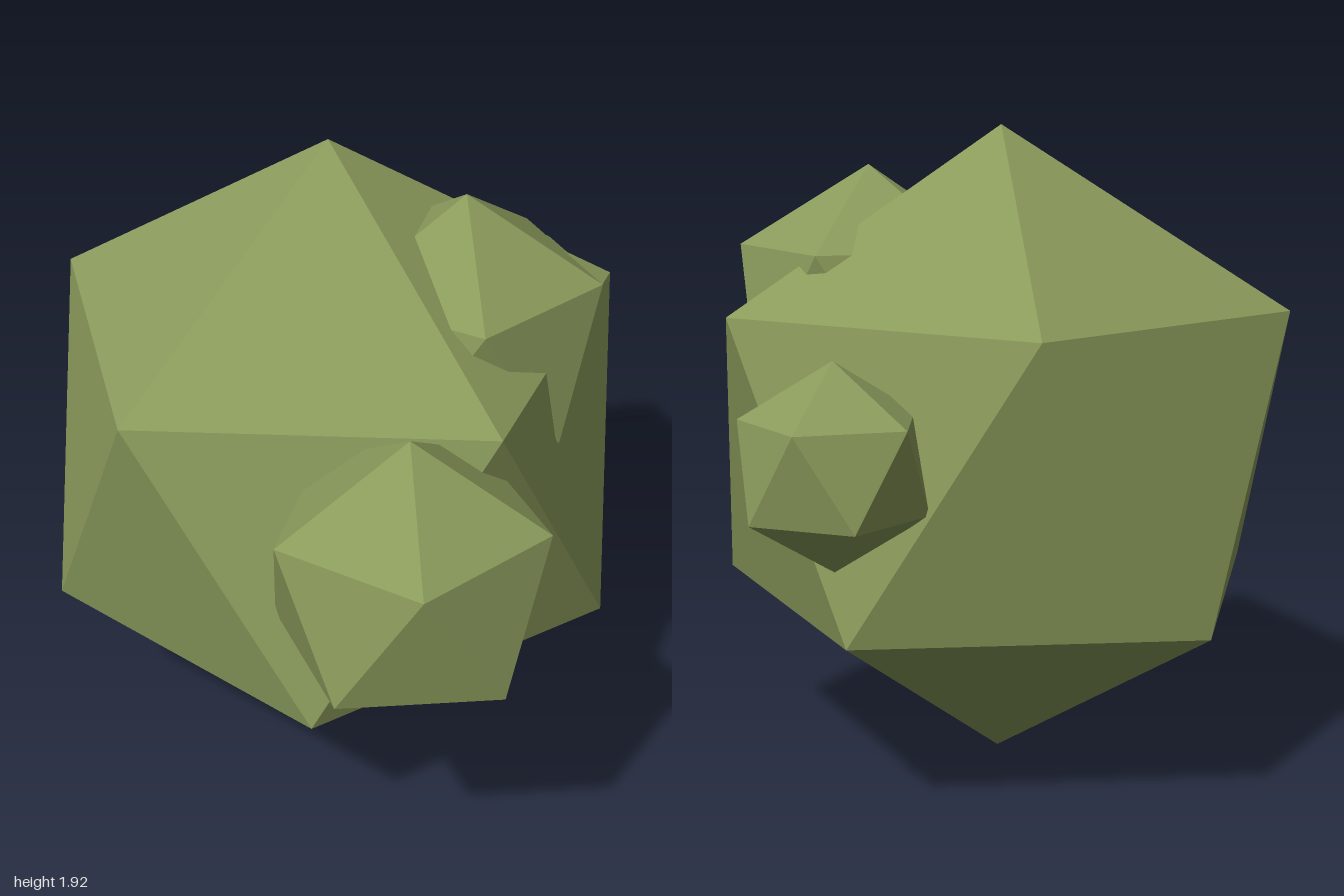
import * as THREE from 'three';

const GOLDEN = (1 + Math.sqrt(5)) / 2;

// Icosahedron standing on a corner; yaw is the bearing (degrees, from +x to +z) of one upper corner
function lump(name, radius, [x, y, z], yaw, material) {
  const geometry = new THREE.IcosahedronGeometry(radius, 0);
  geometry.rotateZ(Math.atan(1 / GOLDEN)); // bring a corner to the top
  geometry.rotateY(THREE.MathUtils.degToRad(180 - yaw));
  const mesh = new THREE.Mesh(geometry, material);
  mesh.name = name;
  mesh.position.set(x, y, z);
  return mesh;
}

export function createModel() {
  const group = new THREE.Group();
  group.name = 'facetedBush';
  const leaf = new THREE.MeshStandardMaterial({ color: 0x8a9a5b, flatShading: true });

  group.add(
    // main body
    lump('mainBody', 0.962, [-0.143, 0.962, -0.145], 32, leaf),
    // smaller lumps growing out of it
    lump('frontRightLump', 0.42, [-0.605, 1.05, 0.595], 60, leaf),
    lump('topFrontLump', 0.435, [0.045, 1.37, 0.205], 58.6, leaf),
    lump('leftLump', 0.288, [0.744, 1.043, -0.19], 58.5, leaf),
  );
  return group;
}
